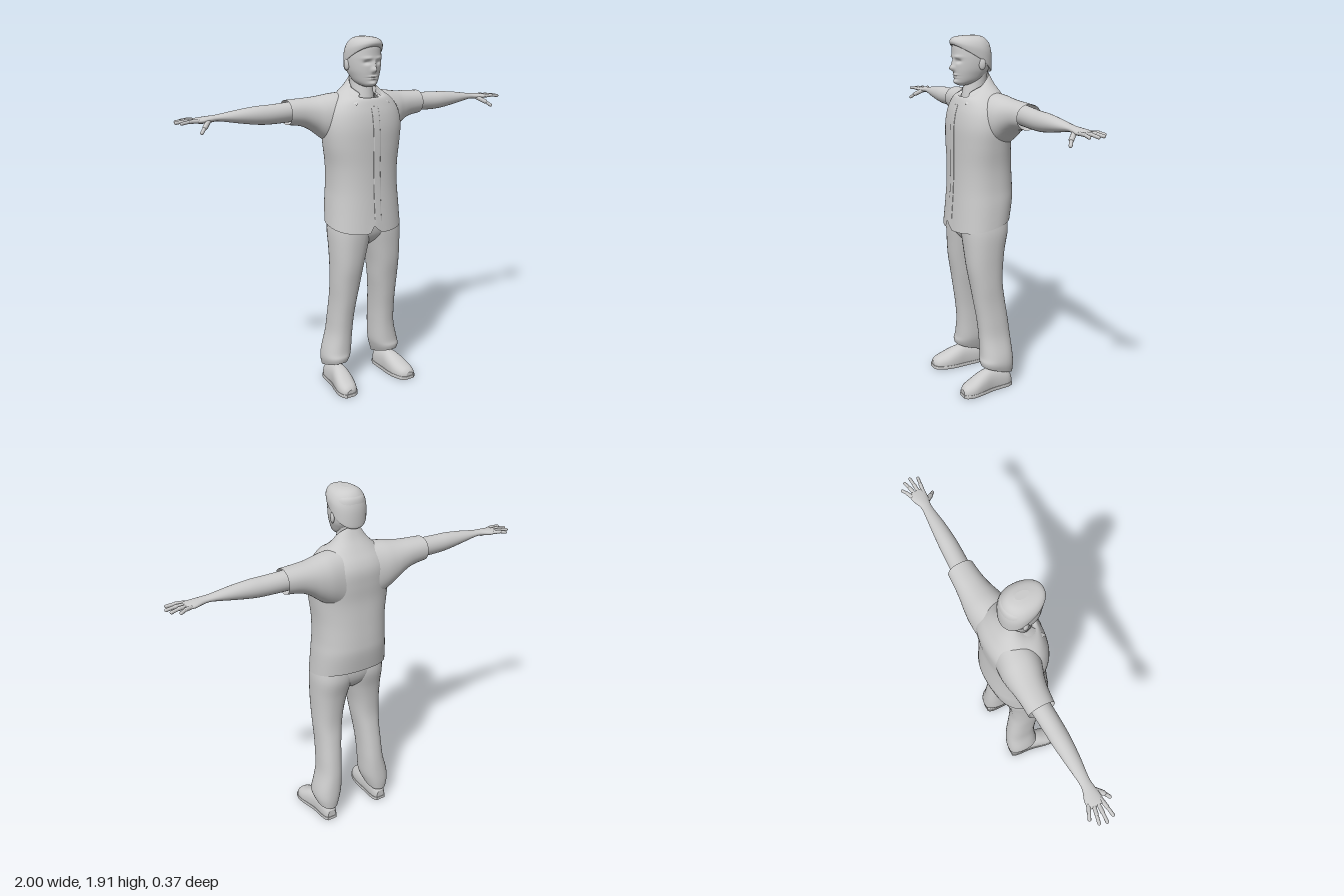
import * as THREE from 'three';
import { mergeGeometries } from 'three/addons/utils/BufferGeometryUtils.js';

const material = new THREE.MeshStandardMaterial({ color: 0xcccccc, side: THREE.DoubleSide });

function add(parent, name, geometry) {
  const mesh = new THREE.Mesh(geometry, material);
  mesh.name = name;
  parent.add(mesh);
  return mesh;
}

// Surface from rows of points; closed rows wrap round
function grid(rows, cols, closed, point) {
  const pos = [], index = [];
  for (let i = 0; i < rows; i++) for (let j = 0; j < cols; j++) pos.push(...point(i, j));
  for (let i = 0; i < rows - 1; i++) {
    for (let j = 0; j < (closed ? cols : cols - 1); j++) {
      const a = i * cols + j, b = i * cols + (j + 1) % cols;
      index.push(a, a + cols, b, b, a + cols, b + cols);
    }
  }
  const g = new THREE.BufferGeometry();
  g.setAttribute('position', new THREE.Float32BufferAttribute(pos, 3));
  g.setIndex(index);
  g.computeVertexNormals();
  return g;
}

// Smooth loft through sections [t, u0, u1, v0, v1, tilt] along an axis
const AXES = {
  x: (t, u, v) => [t, v, u],
  y: (t, u, v) => [u, t, v],
  z: (t, u, v) => [v, u, t],
};
function loft(axis, sections, { p = 2, mid = 0.5, segs = 32, steps = 5, caps = false, rule = q => q } = {}) {
  const n = sections.length, rows = (n - 1) * steps + 1;
  const at = (i, k) => sections[Math.min(n - 1, Math.max(0, i))][k] ?? 0;
  const value = (f, k) => {
    const i = Math.min(n - 2, Math.floor(f)), s = f - i;
    const a = at(i - 1, k), b = at(i, k), c = at(i + 1, k), d = at(i + 2, k);
    return b + 0.5 * s * (c - a + s * (2 * a - 5 * b + 4 * c - d + s * (3 * (b - c) + d - a)));
  };
  const bend = w => Math.sign(w) * Math.abs(w) ** (2 / p);
  const point = (i, j, size = 1) => {
    const [t, u0, u1, v0, v1, tilt] = [0, 1, 2, 3, 4, 5].map(k => value(i / steps, k));
    const angle = j / segs * Math.PI * 2;
    const c = bend(Math.cos(angle)) * size, s = bend(Math.sin(angle)) * size;
    const vm = v0 + (v1 - v0) * mid;
    return rule(AXES[axis](t + tilt * s, (u0 + u1) / 2 + (u1 - u0) / 2 * c, vm + s * (s > 0 ? v1 - vm : vm - v0)));
  };
  const parts = [grid(rows, segs, true, point)];
  if (caps) {
    parts.push(grid(2, segs, true, (i, j) => point(0, j, i)));
    parts.push(grid(2, segs, true, (i, j) => point(rows - 1, j, 1 - i)));
  }
  return mergeGeometries(parts);
}

// Rounded finger segment between two points
function segment(parent, name, a, b, r) {
  const A = new THREE.Vector3(...a), B = new THREE.Vector3(...b);
  const dir = B.clone().sub(A);
  const mesh = add(parent, name, new THREE.CapsuleGeometry(r, dir.length(), 4, 10));
  mesh.position.copy(A).add(B).multiplyScalar(0.5);
  mesh.quaternion.setFromUnitVectors(new THREE.Vector3(0, 1, 0), dir.normalize());
}

function buildHead() {
  const head = new THREE.Group();
  head.name = 'head';
  head.position.x = -0.01;
  // Face relief: [x, y, width, height, depth]
  const bumps = [
    [0, 1.75, 0.011, 0.014, 0.026], [0, 1.775, 0.008, 0.02, 0.012],
    [0.034, 1.787, 0.016, 0.01, -0.012], [-0.034, 1.787, 0.016, 0.01, -0.012],
    [0.034, 1.808, 0.024, 0.008, 0.006], [-0.034, 1.808, 0.024, 0.008, 0.006],
    [0, 1.716, 0.022, 0.005, 0.008], [0, 1.704, 0.02, 0.005, 0.007],
    [0, 1.71, 0.026, 0.0025, -0.006], [0, 1.68, 0.022, 0.012, 0.012],
  ];
  const relief = ([x, y, z]) => {
    if (z > 0.03) for (const [bx, by, w, h, d] of bumps) z += d * Math.exp(-(((x - bx) / w) ** 2) - ((y - by) / h) ** 2);
    return [x, y, z];
  };
  add(head, 'face', loft('y', [
    [1.662, -0.02, 0.02, 0.05, 0.095], [1.672, -0.042, 0.042, 0.02, 0.108], [1.69, -0.06, 0.06, -0.02, 0.114],
    [1.72, -0.074, 0.074, -0.05, 0.119], [1.75, -0.084, 0.084, -0.07, 0.122], [1.79, -0.089, 0.089, -0.078, 0.124],
    [1.83, -0.088, 0.088, -0.078, 0.125], [1.87, -0.08, 0.08, -0.07, 0.122], [1.895, -0.055, 0.055, -0.045, 0.1],
  ], { p: 2.15, mid: 0.42, segs: 72, steps: 9, caps: true, rule: relief }));
  add(head, 'hair', loft('y', [
    [1.795, -0.09, 0.09, -0.079, 0.127, 0.072], [1.805, -0.093, 0.093, -0.083, 0.134, 0.066],
    [1.85, -0.092, 0.092, -0.082, 0.138, 0.034], [1.885, -0.077, 0.077, -0.068, 0.13, 0.014],
    [1.905, -0.052, 0.052, -0.042, 0.108, 0.003], [1.913, -0.02, 0.02, -0.005, 0.065],
  ], { p: 2.1, mid: 0.42, segs: 40, caps: true }));
  add(head, 'neck', loft('y', [
    [1.52, -0.07, 0.07, -0.05, 0.085], [1.6, -0.064, 0.064, -0.06, 0.074],
    [1.68, -0.059, 0.059, -0.06, 0.058], [1.76, -0.064, 0.064, -0.068, 0.04],
  ]));
  for (const s of [1, -1]) {
    const ear = add(head, 'ear', new THREE.SphereGeometry(1, 14, 10));
    ear.scale.set(0.01, 0.029, 0.018);
    ear.position.set(s * 0.089, 1.772, 0.004);
    ear.rotation.y = -s * 0.3;
  }
  return head;
}

function buildShirt() {
  const shirt = new THREE.Group();
  shirt.name = 'shirt';
  // Small notch where the two fronts part at the hem
  const notch = ([x, y, z]) => [x, z > 0 && y < 1 ? y + 0.05 * Math.exp(-(((x + 0.02) / 0.018) ** 2)) * (1 - y) * 10 : y, z];
  add(shirt, 'shirtBody', loft('y', [
    [0.93, -0.213, 0.21, -0.16, 0.16, -0.033], [1.05, -0.202, 0.204, -0.177, 0.15, -0.02],
    [1.14, -0.195, 0.197, -0.177, 0.143], [1.25, -0.198, 0.198, -0.169, 0.14], [1.36, -0.215, 0.212, -0.162, 0.14],
    [1.45, -0.222, 0.222, -0.166, 0.138], [1.52, -0.213, 0.213, -0.166, 0.128], [1.57, -0.188, 0.188, -0.151, 0.113],
    [1.61, -0.148, 0.148, -0.12, 0.1, -0.01], [1.64, -0.105, 0.105, -0.085, 0.088, -0.035],
    [1.66, -0.074, 0.074, -0.06, 0.076, -0.07],
  ], { p: 2.35, segs: 72, rule: notch }));
  // Overlapping button edge down the front
  add(shirt, 'placket', loft('y', [[0.96, 0.155], [1.04, 0.149], [1.14, 0.143], [1.25, 0.14], [1.36, 0.14], [1.45, 0.138], [1.52, 0.128], [1.565, 0.114]]
    .map(([y, z]) => [y, -0.022, 0.02, z - 0.025, z + 0.003]), { p: 7, segs: 24, caps: true }));
  // Folded collar: inside edge, fold, outer edge reaching to the two points
  const start = 0.75, cols = 41;
  add(shirt, 'collar', grid(4, cols, false, (i, j) => {
    const k = j / (cols - 1), s = Math.abs(2 * k - 1);
    const phi = start + k * (Math.PI - start) * 2;
    const r = [0.066, 0.07, 0.076, 0.106 + 0.042 * s ** 5][i];
    const y = [1.65 - 0.06 * s * s, 1.684 - 0.055 * s * s, 1.684 - 0.057 * s * s, 1.64 - 0.068 * s ** 3][i];
    return [Math.sin(phi) * r - 0.005, y, Math.cos(phi) * r + 0.004];
  }));
  return shirt;
}

function buildArm() {
  const arm = new THREE.Group();
  add(arm, 'sleeve', loft('x', [
    [0.08, -0.155, 0.055, 1.31, 1.63], [0.16, -0.163, 0.05, 1.355, 1.625], [0.22, -0.161, 0.032, 1.397, 1.616],
    [0.27, -0.156, 0.012, 1.436, 1.61], [0.33, -0.151, -0.003, 1.465, 1.607], [0.41, -0.148, -0.012, 1.478, 1.604],
  ], { p: 2.15, segs: 40 }));
  add(arm, 'forearm', loft('x', [
    [0.36, -0.13, -0.03, 1.492, 1.595], [0.5, -0.122, -0.026, 1.49, 1.588], [0.58, -0.118, -0.027, 1.495, 1.586],
    [0.68, -0.11, -0.035, 1.511, 1.576], [0.78, -0.101, -0.048, 1.529, 1.562], [0.82, -0.103, -0.046, 1.527, 1.559],
    [0.865, -0.119, -0.039, 1.524, 1.555], [0.9, -0.121, -0.039, 1.529, 1.551], [0.91, -0.112, -0.046, 1.534, 1.547],
  ], { caps: true }));
  // Four spread fingers: knuckle and tip
  for (const [kx, kz, tx, tz] of [[0.89, -0.112, 0.946, -0.139], [0.9, -0.091, 0.98, -0.11], [0.9, -0.07, 0.991, -0.075], [0.89, -0.049, 0.977, -0.037]]) {
    const mx = (kx + tx) / 2, mz = (kz + tz) / 2;
    segment(arm, 'finger', [kx, 1.54, kz], [mx, 1.543, mz], 0.0098);
    segment(arm, 'fingertip', [mx, 1.543, mz], [tx, 1.538, tz], 0.0082);
  }
  segment(arm, 'thumb', [0.835, 1.537, -0.058], [0.87, 1.513, -0.02], 0.0125);
  segment(arm, 'thumbTip', [0.87, 1.513, -0.02], [0.895, 1.492, 0], 0.009);
  return arm;
}

function buildLeg() {
  const leg = new THREE.Group();
  add(leg, 'trouserLeg', loft('y', [
    [0.11, 0.108, 0.228, -0.132, 0.05, 0.028], [0.15, 0.092, 0.238, -0.136, 0.056, 0.015], [0.2, 0.08, 0.232, -0.134, 0.05],
    [0.3, 0.075, 0.207, -0.127, 0.05], [0.4, 0.07, 0.2, -0.115, 0.06], [0.5, 0.06, 0.197, -0.1, 0.076],
    [0.6, 0.045, 0.2, -0.087, 0.092], [0.7, 0.03, 0.202, -0.09, 0.109], [0.8, 0.006, 0.205, -0.102, 0.118],
    [0.9, -0.02, 0.206, -0.124, 0.124], [0.98, -0.02, 0.195, -0.12, 0.12],
  ], { p: 2.3 }));
  // Shoe and sole share sections, flattened at different heights
  const shoe = [
    [-0.122, 0, 0.06, 0.145, 0.195], [-0.09, -0.03, 0.1, 0.13, 0.21], [0, -0.03, 0.12, 0.127, 0.218], [0.06, -0.03, 0.108, 0.125, 0.232],
    [0.12, -0.03, 0.08, 0.132, 0.244], [0.165, -0.02, 0.06, 0.15, 0.238], [0.183, 0, 0.04, 0.175, 0.22],
  ];
  const flatten = (lo, hi) => ([x, y, z]) => [x, Math.min(hi, Math.max(lo, y)), z];
  add(leg, 'shoe', loft('z', shoe, { p: 2.3, caps: true, rule: flatten(0.008, 1) }));
  add(leg, 'sole', loft('z', shoe.map(([z, , , a, b]) => [z * 1.02, -0.06, 0.08, a - 0.003, b + 0.003]),
    { p: 2.6, caps: true, rule: flatten(0, 0.018) }));
  return leg;
}

export function createModel() {
  const man = new THREE.Group();
  man.name = 'standingMan';
  man.add(buildHead(), buildShirt());
  add(man, 'trouserSeat', loft('y', [
    [0.815, -0.03, 0.03, -0.06, 0.06], [0.86, -0.12, 0.12, -0.103, 0.106],
    [0.92, -0.19, 0.19, -0.124, 0.123], [1, -0.19, 0.19, -0.124, 0.12],
  ], { p: 2.4, caps: true }));
  for (const side of [1, -1]) {
    const arm = buildArm(), leg = buildLeg();
    arm.name = side > 0 ? 'leftArm' : 'rightArm';
    leg.name = side > 0 ? 'leftLeg' : 'rightLeg';
    arm.scale.x = leg.scale.x = side;
    leg.position.x = 0.005;
    man.add(arm, leg);
  }
  return man;
}
